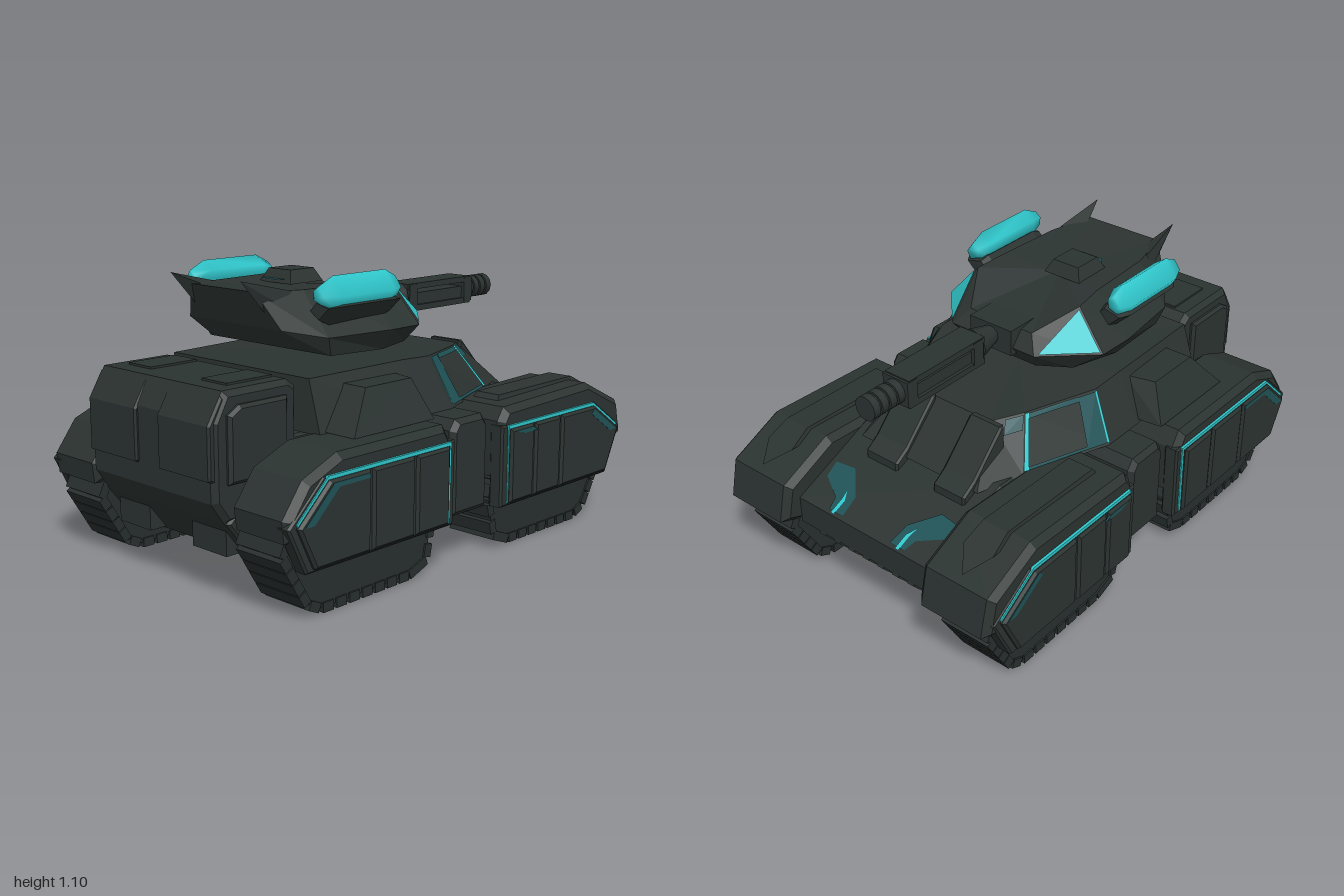
import * as THREE from 'three';
import { ConvexGeometry } from 'three/addons/geometries/ConvexGeometry.js';
import { mergeVertices } from 'three/addons/utils/BufferGeometryUtils.js';

const mat = (name, color, side = THREE.FrontSide) => {
  const m = new THREE.MeshStandardMaterial({ color, side });
  m.name = name;
  return m;
};

export function createModel() {
  const root = new THREE.Group();
  root.name = 'tank';
  const armour = mat('dark armour', 0x2b3331);
  const rubber = mat('track metal', 0x282f2e);
  const teal = mat('dim teal', 0x1f5256, THREE.DoubleSide);
  const cyan = mat('bright cyan', 0x30c8cd, THREE.DoubleSide);

  const add = (name, geo, m = armour) => {
    const mesh = new THREE.Mesh(geo, m);
    mesh.name = name;
    root.add(mesh);
  };
  // Same part on both sides, with the winding corrected on the mirrored copy
  const pair = (name, geo, m = armour) => {
    add(name + 'Left', geo, m);
    const g = geo.index ? geo.toNonIndexed() : geo.clone();
    for (const p of [g.attributes.position, g.attributes.normal]) {
      for (let i = 0; i < p.count; i += 3) {
        const v = [0, 2, 1].map(k => new THREE.Vector3().fromBufferAttribute(p, i + k));
        v.forEach((q, k) => p.setXYZ(i + k, -q.x, q.y, q.z));
      }
    }
    add(name + 'Right', g, m);
  };
  const mix = (p, q, t) => p.map((k, i) => k + (q[i] - k) * t);
  const centre = pts => pts[0].map((_, k) => pts.reduce((s, p) => s + p[k], 0) / pts.length);
  const grow = (pts, s) => pts.map(p => mix(centre(pts), p, s));
  const box = (x0, x1, y0, y1, z0, z1) => new THREE.BoxGeometry(x1 - x0, y1 - y0, z1 - z0)
    .translate((x0 + x1) / 2, (y0 + y1) / 2, (z0 + z1) / 2);
  // Side profile of [z, y] points, extruded across x
  const side = (pts, x0, x1, bevel = 0) => {
    const v = pts.map(p => new THREE.Vector2(...p));
    if (THREE.ShapeUtils.isClockWise(v)) v.reverse();
    return new THREE.ExtrudeGeometry(new THREE.Shape(v), {
      depth: x1 - x0 - 2 * bevel, bevelEnabled: bevel > 0, bevelSize: bevel,
      bevelThickness: bevel, bevelOffset: -bevel, bevelSegments: 1,
    }).rotateY(-Math.PI / 2).translate(x1 - bevel, 0, 0);
  };
  const hull = pts => new ConvexGeometry(pts.map(p => new THREE.Vector3(...p)));
  const fromTriangles = pos => {
    const g = new THREE.BufferGeometry();
    g.setAttribute('position', new THREE.Float32BufferAttribute(pos, 3));
    g.computeVertexNormals();
    return g;
  };
  const smooth = g => {
    const m = mergeVertices(new THREE.BufferGeometry().setAttribute('position', g.attributes.position), 1e-4);
    m.computeVertexNormals();
    return m;
  };
  // Symmetric rings, given as left halves from front to back, stacked upward
  const loft = halves => {
    const rings = halves.map(h => [...h, ...h.slice().reverse().map(([x, y, z]) => [-x, y, z])]);
    const pos = [], n = rings[0].length, low = rings[0], high = rings[rings.length - 1];
    for (let i = 0; i < n; i++) {
      const j = (i + 1) % n;
      for (let r = 0; r + 1 < rings.length; r++) {
        const [a, b, c, d] = [rings[r][i], rings[r][j], rings[r + 1][j], rings[r + 1][i]];
        pos.push(...a, ...d, ...c, ...a, ...c, ...b);
      }
      pos.push(...centre(low), ...low[i], ...low[j], ...centre(high), ...high[j], ...high[i]);
    }
    return fromTriangles(pos);
  };
  // Thin painted polygon, lifted outward along its normal
  const plate = (pts, lift) => {
    const v = pts.map(p => new THREE.Vector3(...p));
    const n = v[1].clone().sub(v[0]).cross(v[2].clone().sub(v[0])).normalize().multiplyScalar(lift);
    const q = v.map(p => p.add(n).toArray()), pos = [];
    for (let i = 1; i + 1 < q.length; i++) pos.push(...q[0], ...q[i], ...q[i + 1]);
    return fromTriangles(pos);
  };
  // Part of a face between a bottom edge a-b and a top edge d-c
  const patch = ([a, d, c, b], u0, u1, v0, v1, lift) => {
    const at = (u, v) => mix(mix(a, b, u), mix(d, c, u), v);
    return plate([at(u0, v0), at(u0, v1), at(u1, v1), at(u1, v0)], lift);
  };

  // Lower hull with sloping nose
  add('lowerHull', side([[-0.78, 0.16], [0.82, 0.16], [0.93, 0.3], [0.62, 0.56], [-0.55, 0.57],
    [-0.915, 0.41], [-0.915, 0.3]], -0.345, 0.345, 0.01));
  for (let i = -3; i <= 3; i++)
    add('noseVent', side([[-0.915, 0.29], [-0.79, 0.15], [-0.74, 0.15], [-0.74, 0.18], [-0.9, 0.33]], i * 0.075 - 0.015, i * 0.075 + 0.015));
  pair('rearSkirt', box(0.12, 0.3, 0.17, 0.29, 0.8, 0.9));

  // Upper hull and its windows
  const base = [[0.29, 0.555, -0.62], [0.355, 0.565, -0.44], [0.48, 0.56, -0.08], [0.48, 0.56, 0.1], [0.43, 0.56, 0.575]];
  const roof = [[0.2, 0.735, -0.44], [0.27, 0.745, -0.33], [0.385, 0.755, -0.05], [0.385, 0.76, 0.1], [0.37, 0.755, 0.57]];
  add('upperHull', loft([base, roof]));
  const sideFace = [base[1], roof[1], roof[2], base[2]];
  const frontFace = [base[0], roof[0], roof[1], base[1]];
  pair('windowRearBand', patch(sideFace, 0.74, 0.98, 0.05, 0.96, 0.006), teal);
  pair('windowTopBand', patch(sideFace, 0.04, 0.74, 0.88, 0.97, 0.007), teal);
  pair('windowSill', patch(sideFace, 0.04, 0.74, 0.05, 0.1, 0.006), teal);
  pair('windowPost', patch(sideFace, 0, 0.055, 0.05, 0.98, 0.009), cyan);
  pair('windowRearEdge', patch(sideFace, 0.975, 1, 0.05, 0.98, 0.009), cyan);
  pair('frontBand', patch(frontFace, 0.45, 0.97, 0.72, 0.96, 0.006), teal);
  pair('sideBin', hull([[0.38, 0.72, 0.15], [0.5, 0.72, 0.18], [0.57, 0.57, 0.13], [0.42, 0.57, 0.11],
    [0.38, 0.72, 0.42], [0.5, 0.72, 0.42], [0.57, 0.57, 0.55], [0.42, 0.57, 0.55]]));

  // Nose hatches and lights
  for (const [x0, x1] of [[-0.27, -0.12], [0.06, 0.22]])
    add('noseHatch', side([[-0.67, 0.5], [-0.67, 0.55], [-0.61, 0.59], [-0.46, 0.745], [-0.44, 0.745], [-0.44, 0.6]], x0, x1, 0.008));
  const onNose = ([x, z]) => [x, 0.41 + (z + 0.915) * 0.438, z];
  pair('noseGlow', plate([[0.12, -0.9], [0.13, -0.82], [0.22, -0.73], [0.31, -0.74], [0.3, -0.8], [0.21, -0.83], [0.19, -0.9]].map(onNose), 0.004), teal);
  pair('noseLight', plate([[0.155, -0.91], [0.155, -0.85], [0.18, -0.81], [0.172, -0.85], [0.172, -0.91]].map(onNose), 0.008), cyan);

  // Rear engine block
  add('engineBlock', side([[0.6, 0.3], [0.93, 0.3], [0.985, 0.38], [0.985, 0.66], [0.93, 0.76],
    [0.64, 0.76], [0.6, 0.73]], -0.345, 0.345, 0.02));
  pair('engineDoor', side([[0.95, 0.44], [0.998, 0.46], [0.998, 0.65], [0.94, 0.745], [0.9, 0.72]], 0.06, 0.335, 0.008));
  pair('engineHatch', box(0.14, 0.27, 0.74, 0.768, 0.65, 0.86));
  pair('engineCheek', side([[0.66, 0.44], [0.93, 0.44], [0.93, 0.68], [0.88, 0.71], [0.66, 0.71]], 0.33, 0.365, 0.012));

  // Corner pod: dir is the end it faces; outline runs inner bottom, inner top, corner, tip, outer bottom
  const pod = (name, dir, x0, fender, outline, splits, edge) => {
    const [p0, p1, p2, p3, p4] = outline, gap = dir * 0.005;
    pair(name + 'Fender', side(fender, x0, 0.655, 0.025));
    pair(name + 'Skirt', side(grow(outline, 1.1), 0.6, 0.66, 0.008));
    // Glowing trim along the top, hidden elsewhere by the panels
    pair(name + 'Trim', side(outline.map(([z, y], i) => [i < 2 ? z - dir * edge : z, y > 0.3 ? y + 0.013 : y]), 0.655, 0.665), cyan);
    pair(name + 'PanelBack', side(outline, 0.655, 0.668));
    const [s1, s2] = splits, slab = (a, b) => [[a, p0[1]], [a, p1[1]], [b, p1[1]], [b, p0[1]]];
    for (const p of [slab(p0[0], s1 - gap), slab(s1 + gap, s2 - gap), [...slab(s2 + gap, p2[0]).slice(0, 2), p2, p3, p4]])
      pair(name + 'Panel', side(p, 0.65, 0.678, 0.01));
    // Dim bands just inside the outline
    const mid = centre(outline), [, i1, i2, i3] = grow(outline, 0.93);
    for (const [a, b] of [[i2, i3], [mix(i1, i2, dir > 0 ? 0.7 : 0), mix(i1, i2, dir > 0 ? 1 : 0.2)]])
      pair(name + 'PanelGlow', side([a, b, mix(b, mid, 0.13), mix(a, mid, 0.13)], 0.672, 0.6795), teal);
    // Track loop with tread bars
    const track = [[0.2, 0.055], [0.29, 0.022], [0.74, 0.02], [0.805, 0.05], [0.918, 0.24], [0.875, 0.33], [0.23, 0.33], [0.17, 0.2]]
      .map(([z, y]) => [z * dir, y]);
    pair(name + 'Track', side(track, 0.392, 0.595), rubber);
    track.forEach((a, i) => {
      const b = track[(i + 1) % track.length], dz = b[0] - a[0], dy = b[1] - a[1];
      if (a[1] > 0.3 && b[1] > 0.3) return;
      const count = Math.max(1, Math.round(Math.hypot(dz, dy) / 0.062));
      for (let k = 0; k < count; k++) {
        const [z, y] = mix(a, b, (k + 0.5) / count);
        pair(name + 'Tread', new THREE.BoxGeometry(0.216, 0.036, 0.05).rotateX(-Math.atan2(dy, dz)).translate(0.494, y, z), rubber);
      }
    });
  };
  pod('front', -1, 0.335, [[-0.165, 0.3], [-0.165, 0.52], [-0.2, 0.57], [-0.74, 0.585], [-0.965, 0.48], [-1, 0.33], [-0.92, 0.3]],
    [[-0.2, 0.2], [-0.2, 0.49], [-0.76, 0.49], [-0.935, 0.375], [-0.85, 0.2]], [-0.35, -0.525], 0.004);
  pod('rear', 1, 0.375, [[0.12, 0.3], [0.12, 0.5], [0.16, 0.565], [0.7, 0.565], [0.86, 0.5], [0.95, 0.38], [0.94, 0.3]],
    [[0.16, 0.2], [0.155, 0.49], [0.77, 0.49], [0.915, 0.355], [0.84, 0.2]], [0.345, 0.57], 0.012);
  // Raised fender spines and the blocks between pods
  pair('frontSpine', hull([[0.43, 0.55, -0.25], [0.56, 0.55, -0.25], [0.44, 0.592, -0.28], [0.55, 0.592, -0.28],
    [0.43, 0.55, -0.85], [0.56, 0.55, -0.85], [0.44, 0.597, -0.76], [0.55, 0.597, -0.76], [0.5, 0.5, -0.94]]));
  pair('midBlock', side([[-0.13, 0.19], [0.08, 0.19], [0.08, 0.52], [0.05, 0.56], [-0.1, 0.56], [-0.13, 0.52]], 0.3, 0.62, 0.02));

  // Turret
  const low = [[0.16, 0.81, -0.13], [0.27, 0.8, -0.04], [0.33, 0.8, 0.15], [0.33, 0.81, 0.42], [0.24, 0.825, 0.48]];
  const belt = [[0.2, 0.89, -0.19], [0.38, 0.88, 0], [0.385, 0.88, 0.15], [0.35, 0.88, 0.45], [0.25, 0.91, 0.585]];
  const top = [[0.15, 0.95, -0.14], [0.25, 1.03, 0.02], [0.235, 1.04, 0.15], [0.22, 1.04, 0.45], [0.175, 1.045, 0.64]];
  add('turret', loft([low, belt, top]));
  pair('turretWindow', plate(grow([belt[0], top[1], belt[1]], 0.9), 0.006), cyan);
  pair('turretHorn', hull([[0.22, 0.99, 0.55], [0.15, 1.04, 0.6], [0.215, 1.04, 0.5], [0.19, 0.96, 0.6], [0.19, 1.092, 0.72]]));
  add('turretHatch', hull([-0.14, 0.03].flatMap(x => [0.16, 0.33].flatMap(z =>
    [[x, 1.03, z], [x + (x < 0 ? 0.025 : -0.025), 1.08, z + (z < 0.2 ? 0.025 : -0.025)]]))));
  add('hatchGlow', plate([[-0.1, 1.043, 0.36], [0, 1.043, 0.36], [0.01, 1.043, 0.33], [-0.12, 1.043, 0.33]], 0.004), teal);
  add('turretFin', hull([[-0.265, 0.805, 0.28], [-0.255, 0.805, 0.28], [-0.265, 0.805, 0.09],
    [-0.255, 0.805, 0.09], [-0.26, 0.76, 0.185]]));

  // Glowing side pods on dark housings, from [z, scale] stations
  const stack = (section, stations) => hull(stations.flatMap(([z, s]) => grow(section, s).map(([x, y]) => [x, y, z])));
  pair('glowPod', smooth(stack([[0.403, 1.03], [0.35, 1.1], [0.3, 1.065], [0.305, 1.0], [0.37, 0.975]],
    [[0.1, 0.55], [0.16, 1], [0.43, 1], [0.5, 0.5]])), cyan);
  pair('podHousing', stack([[0.4, 0.995], [0.3, 1.02], [0.25, 0.97], [0.32, 0.92]], [[0.1, 0.7], [0.14, 1], [0.42, 1], [0.47, 0.6]]));

  // Gun along -z
  const tube = (r0, r1, z0, z1) => new THREE.CylinderGeometry(r1, r0, z0 - z1, 12)
    .rotateX(-Math.PI / 2).translate(0, 0.918, (z0 + z1) / 2);
  add('mantlet', box(-0.1, 0.1, 0.86, 0.965, -0.2, 0));
  add('gunCollar', tube(0.03, 0.062, -0.17, -0.3));
  add('gunBarrel', box(-0.045, 0.045, 0.883, 0.932, -0.71, -0.29));
  for (const y of [0.95, 0.86]) add('gunRail', box(-0.058, 0.058, y, y + 0.024, -0.7, -0.3));
  for (const z of [-0.36, -0.71]) add('gunRailBlock', box(-0.06, 0.06, 0.868, 0.97, z, z + 0.05));
  add('muzzle', tube(0.04, 0.04, -0.7, -0.86));
  for (let i = 0; i < 4; i++) add('muzzleRing', tube(0.048, 0.048, -0.71 - i * 0.04, -0.74 - i * 0.04));
  return root;
}
